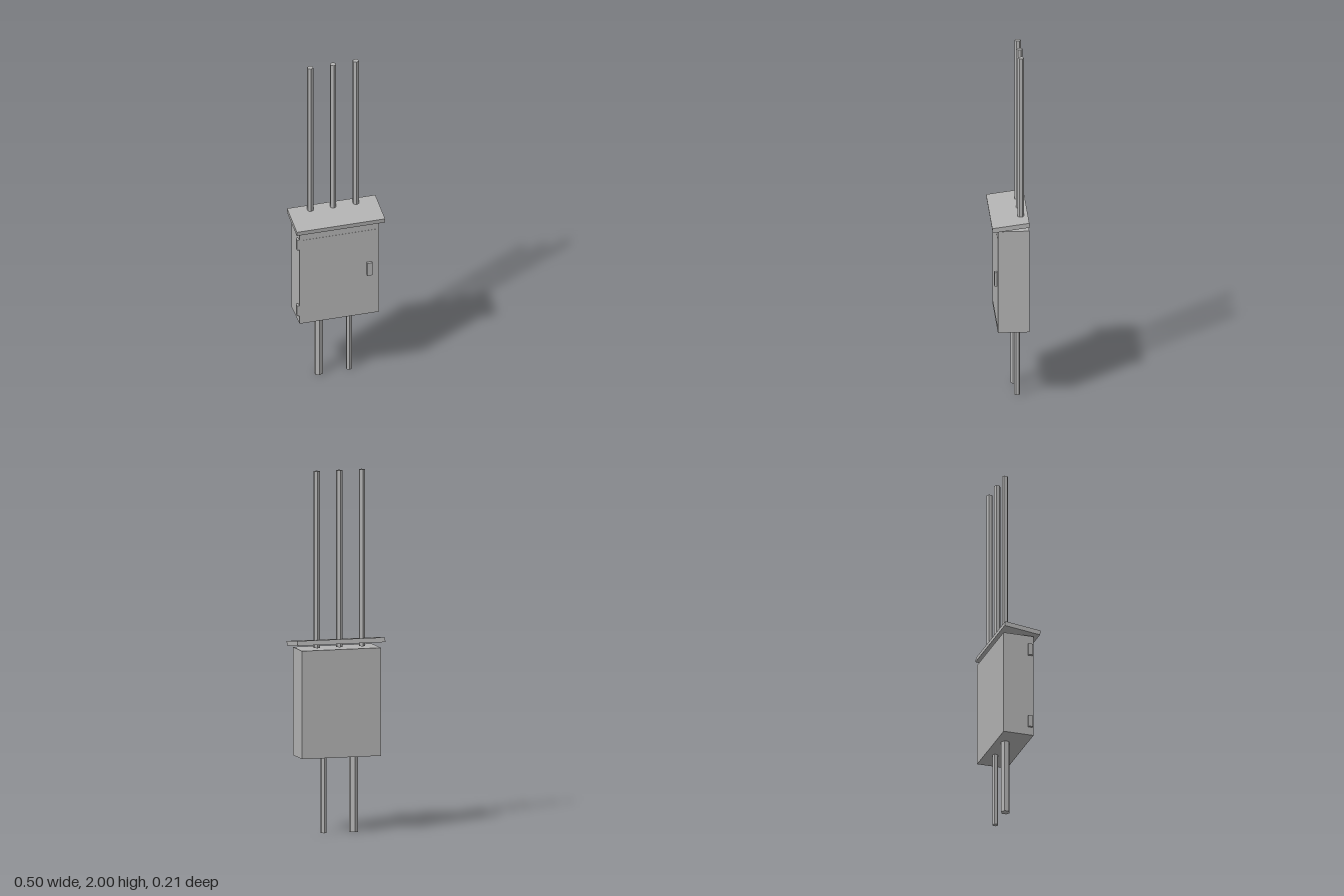
import * as THREE from 'three';

export function createModel() {
  const group = new THREE.Group();
  const grey = new THREE.MeshStandardMaterial({ color: 0xb2b2b2 });
  grey.name = 'grey metal';
  grey.flatShading = true;

  const add = (name, geometry, x, y, z) => {
    const mesh = new THREE.Mesh(geometry, grey);
    mesh.name = name;
    mesh.position.set(x, y, z);
    group.add(mesh);
    return mesh;
  };
  // Box given by its limits on each axis
  const box = (name, x0, x1, y0, y1, z0, z1) =>
    add(name, new THREE.BoxGeometry(x1 - x0, y1 - y0, z1 - z0),
      (x0 + x1) / 2, (y0 + y1) / 2, (z0 + z1) / 2);
  // Upright hexagonal pipe
  const pipe = (name, r, x, z, y0, y1) =>
    add(name, new THREE.CylinderGeometry(r, r, y1 - y0, 6), x, (y0 + y1) / 2, z);

  // Cabinet with a very slightly raised door
  box('cabinet', -0.225, 0.225, 0.42, 1.016, -0.102, 0.07);
  box('door', -0.205, 0.205, 0.444, 0.965, 0.06, 0.071);
  box('handle', 0.154, 0.182, 0.677, 0.758, 0.065, 0.086);

  // Hinges on the right-hand side of the cabinet
  for (const y of [0.5, 0.932]) box('hinge', -0.238, -0.22, y - 0.033, y + 0.033, 0.037, 0.063);

  // Sloping roof, higher at the back
  const roof = add('roof', new THREE.BoxGeometry(0.5, 0.026, 0.205), 0, 1.046, -0.0005);
  roof.rotation.x = 0.13;

  // Pipes rising through the roof
  for (const x of [-0.129, 0, 0.129]) pipe('upperPipe', 0.0175, x, -0.0625, 1.025, 2);

  // Pipes below the cabinet, one thick and one thin
  pipe('lowerThickPipe', 0.025, -0.087, -0.045, 0, 0.43);
  pipe('lowerThinPipe', 0.0165, 0.085, -0.045, 0, 0.43);

  return group;
}
